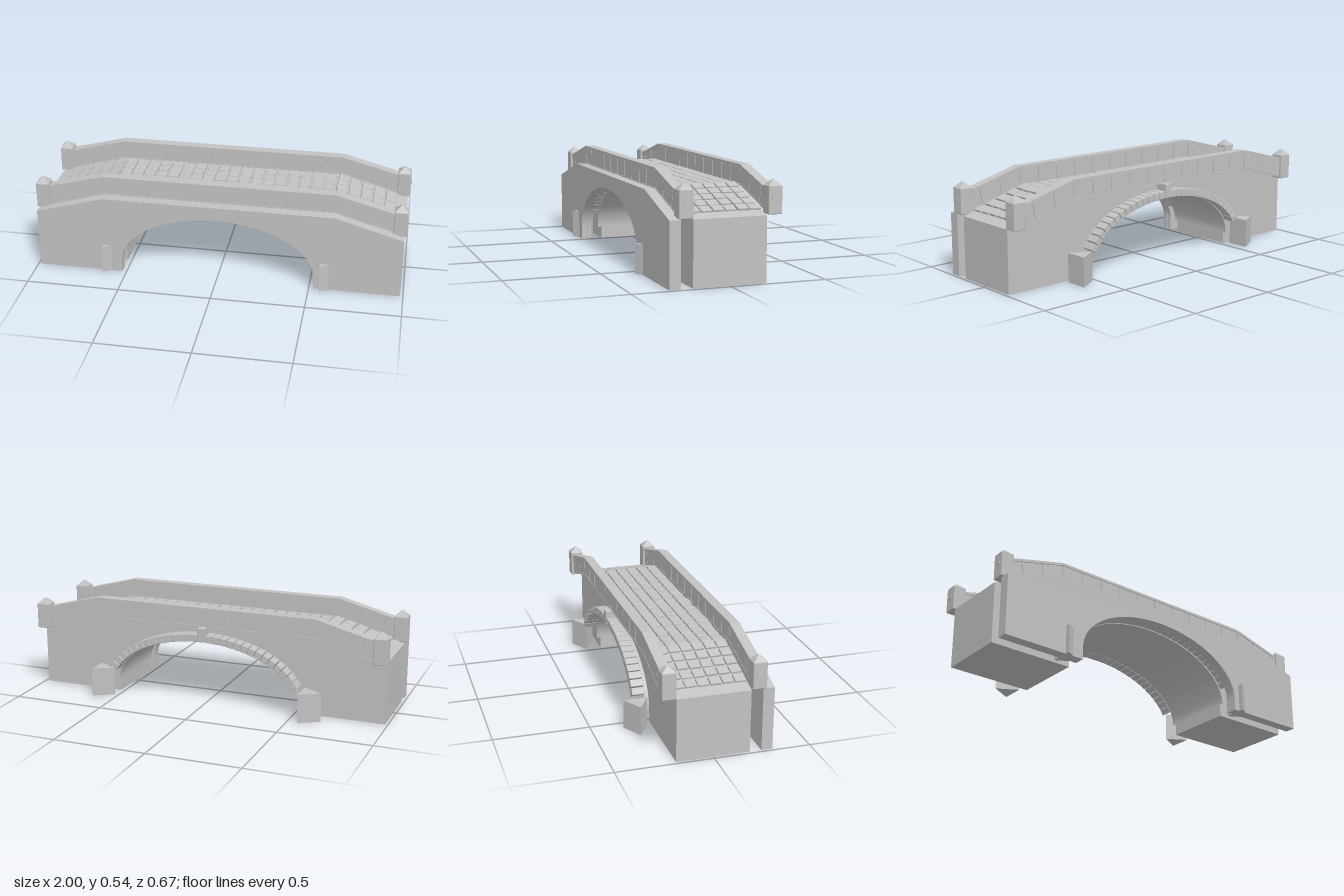
import * as THREE from 'three';
import { mergeGeometries, toCreasedNormals } from 'three/addons/utils/BufferGeometryUtils.js';
import { RoundedBoxGeometry } from 'three/addons/geometries/RoundedBoxGeometry.js';

const SLOPE = 0.285, KINK = 0.62, ARCH_Y = 0.065;
const deckY = (x) => 0.435 - Math.max(0, Math.abs(x) - KINK) * SLOPE;

function seeded(seed) {
  return () => {
    seed = (seed * 16807) % 2147483647;
    return seed / 2147483647 - 0.5;
  };
}

// Extrude a side-on outline across z, centred on zMid
function extrude(shape, depth, zMid) {
  const g = new THREE.ExtrudeGeometry(shape, { depth, bevelEnabled: false, curveSegments: 48 });
  return g.translate(0, 0, zMid - depth / 2);
}

const outline = (pts) => new THREE.Shape(pts.map(([x, y]) => new THREE.Vector2(x, y)));

// Bridge silhouette with a half-elliptical opening
function bridgeShape() {
  const s = new THREE.Shape();
  s.moveTo(-0.985, 0);
  s.lineTo(-0.985, 0.331);
  s.lineTo(-KINK, 0.435);
  s.lineTo(KINK, 0.435);
  s.lineTo(0.985, 0.331);
  s.lineTo(0.985, 0);
  s.lineTo(0.523, 0);
  s.lineTo(0.523, ARCH_Y);
  s.absellipse(0, ARCH_Y, 0.523, 0.295, 0, Math.PI, false);
  s.lineTo(-0.523, 0);
  return s;
}

// Point on the railing centre plane: u runs -1..1 over the flat part, h is 0 at foot and 1 at top
function railPoint(u, h) {
  const side = Math.sign(u), over = Math.max(0, Math.abs(u) - 1);
  const x = side * (Math.min(1, Math.abs(u)) * KINK + over * (0.33 + 0.025 * h));
  const y = 0.435 + 0.105 * h - over * 0.094;
  return [x, y];
}

// Long strip following the railing line between two heights
function railStrip(h0, h1, depth, z) {
  const us = [-2, -1, 1, 2];
  const low = us.map((u) => railPoint(u, h0));
  const high = us.map((u) => railPoint(u, h1)).reverse();
  return extrude(outline([...low, ...high]), depth, z);
}

export function createModel() {
  const bridge = new THREE.Group();
  bridge.name = 'stoneBridge';
  const stone = new THREE.MeshStandardMaterial({ color: 0xc2c2c2, side: THREE.DoubleSide });
  stone.name = 'pale grey stone';

  const add = (name, geometry, parent = bridge) => {
    const mesh = new THREE.Mesh(geometry, stone);
    mesh.name = name;
    parent.add(mesh);
    return mesh;
  };

  // Main mass and the separate facing wall on the front
  add('body', toCreasedNormals(extrude(bridgeShape(), 0.378, 0), 0.4));
  add('frontWall', toCreasedNormals(extrude(bridgeShape(), 0.058, 0.279), 0.4));

  // Thin vault lining, a little wider than the body
  const vault = new THREE.CylinderGeometry(1, 1, 0.42, 64, 1, true, Math.PI / 2, Math.PI);
  vault.rotateX(Math.PI / 2).scale(0.522, 0.294, 1);
  vault.computeBoundingBox();
  if (vault.boundingBox.max.y < 0.1) vault.rotateZ(Math.PI);
  vault.translate(0, ARCH_Y, 0);
  add('vaultLining', vault);

  // Cobbled deck
  const rand = seeded(41);
  const cobbles = [];
  const columns = 28, rows = 6, stepX = 1.85 / columns, stepZ = 0.378 / rows;
  for (let i = 0; i < columns; i++) {
    for (let j = 0; j < rows; j++) {
      const x = -0.925 + (i + 0.5) * stepX;
      const z = -0.189 + (j + 0.5) * stepZ;
      const tilt = Math.abs(x) > KINK ? -Math.sign(x) * Math.atan(SLOPE) : 0;
      const g = new RoundedBoxGeometry(stepX - 0.009, 0.024, stepZ - 0.006, 1, 0.004);
      g.rotateY(rand() * 0.06).rotateZ(tilt + rand() * 0.03);
      g.translate(x + rand() * 0.004, deckY(x) + rand() * 0.003, z);
      cobbles.push(g);
    }
  }
  add('cobbles', mergeGeometries(cobbles));

  // Voussoirs follow an ellipse just outside the opening
  const ring = new THREE.EllipseCurve(0, ARCH_Y, 0.544, 0.314, 0.29, Math.PI - 0.29);
  const stones = 29, stoneLength = ring.getLength() / stones;

  for (const side of [1, -1]) {
    const half = new THREE.Group();
    half.name = side > 0 ? 'frontSide' : 'backSide';
    bridge.add(half);
    const railZ = side * 0.228;

    // Railing: core, blocks, coping and foot
    add('railCore', railStrip(0.03, 0.88, 0.036, railZ), half);
    add('railCoping', railStrip(0.86, 1, 0.052, railZ), half);
    add('railFoot', railStrip(-0.02, 0.05, 0.048, railZ), half);
    const joints = [];
    for (let i = 0; i <= 10; i++) joints.push(-1 + i * 0.2);
    for (const t of [0.36, 0.72, 1]) {
      joints.push(1 + t);
      joints.unshift(-1 - t);
    }
    const blocks = [];
    for (let i = 0; i + 1 < joints.length; i++) {
      const a = joints[i] + 0.005, b = joints[i + 1] - 0.005;
      const corners = [railPoint(a, 0.06), railPoint(b, 0.06), railPoint(b, 0.85), railPoint(a, 0.85)];
      blocks.push(extrude(outline(corners), 0.046, railZ));
    }
    add('railBlocks', mergeGeometries(blocks), half);

    // Arch stones with a taller keystone
    const archStones = [];
    for (let i = 0; i < stones; i++) {
      if (i === (stones - 1) / 2) continue;
      const t = (i + 0.5) / stones;
      const p = ring.getPointAt(t), d = ring.getTangentAt(t);
      const g = new RoundedBoxGeometry(stoneLength - 0.003, 0.04, 0.068, 1, 0.003);
      g.rotateZ(Math.atan2(d.y, d.x)).translate(p.x, p.y, side * 0.249);
      archStones.push(g);
    }
    add('archStones', mergeGeometries(archStones), half);
    const key = add('keystone', new RoundedBoxGeometry(0.044, 0.076, 0.074, 1, 0.004), half);
    key.position.set(0, 0.398, side * 0.25);

    for (const end of [1, -1]) {
      // Three-sided springer block at each foot of the arch
      const springer = add('springer', toCreasedNormals(
        new THREE.CylinderGeometry(0.072, 0.072, 0.155, 3), 0.3), half);
      springer.rotation.y = side * Math.PI / 2;
      springer.position.set(end * 0.592 + (side > 0 ? -1 : 1) * 0.0, 0.0775, side * 0.2725);

      // End post with pyramid cap and small grip
      const post = new THREE.Group();
      post.name = 'endPost';
      post.position.set(end * 0.96, 0, railZ);
      half.add(post);
      add('postShaft', new RoundedBoxGeometry(0.072, 0.14, 0.072, 1, 0.005), post).position.y = 0.405;
      const cap = new THREE.ConeGeometry(0.047, 0.032, 4).toNonIndexed();
      cap.computeVertexNormals();
      const tip = add('postCap', cap.rotateY(Math.PI / 4), post);
      tip.position.y = 0.49;
      const grip = add('postGrip', new THREE.BoxGeometry(0.005, 0.014, 0.034), post);
      grip.position.set(end * 0.0375, 0.413, 0);
    }
  }
  return bridge;
}
